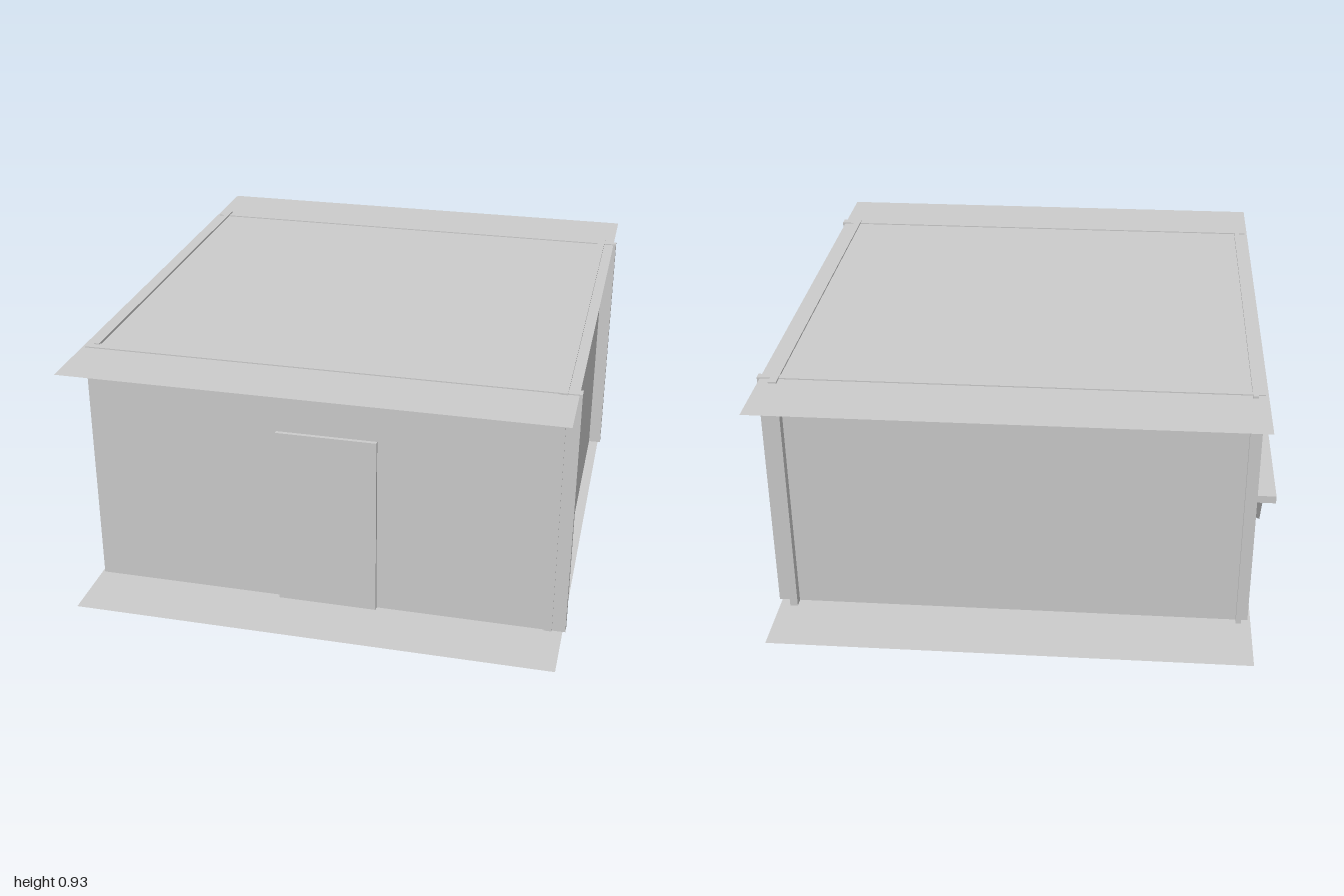
import * as THREE from 'three';
import { ConvexGeometry } from 'three/addons/geometries/ConvexGeometry.js';

export function createModel() {
  const group = new THREE.Group();
  const mat = new THREE.MeshStandardMaterial({ color: 0xcccccc, flatShading: true, side: THREE.DoubleSide });

  const add = (name, geometry) => {
    const mesh = new THREE.Mesh(geometry, mat);
    mesh.name = name;
    group.add(mesh);
    return mesh;
  };
  // Box given by its limits on each axis
  const box = (name, x0, x1, y0, y1, z0, z1) =>
    add(name, new THREE.BoxGeometry(x1 - x0, y1 - y0, z1 - z0)
      .translate((x0 + x1) / 2, (y0 + y1) / 2, (z0 + z1) / 2));
  const slab = (name, y) =>
    add(name, new THREE.PlaneGeometry(1.71, 2).rotateX(-Math.PI / 2).translate(0.045, y, 0));
  // Side profile in (z, y), extruded between two x positions
  const sideExtrude = (name, shape, x0, x1) =>
    add(name, new THREE.ExtrudeGeometry(shape, { depth: x1 - x0, bevelEnabled: false })
      .rotateY(-Math.PI / 2).translate(x1, 0, 0));
  const points = (list) => list.map(([z, y]) => new THREE.Vector2(z, y));

  // Floor and ceiling sheets
  slab('floor', 0.017);
  slab('ceiling', 0.93);

  // Plain walls, crossing at the corners
  box('frontWall', -0.8, 0.91, 0.019, 0.934, 0.73, 0.765);
  box('backWall', -0.8, 0.91, 0.019, 0.934, -0.74, -0.713);
  box('leftWall', 0.835, 0.863, 0.018, 0.936, -0.775, 0.77);

  // Door slab set through the front wall
  box('door', -0.12, 0.236, 0.004, 0.685, 0.71, 0.779);

  // Arch outline, shrunk by an inset for the opening
  const arch = (inset, base) => {
    const half = [[0.3, base], [0.3, 0.46], [0.24, 0.605], [0.11, 0.69]]
      .map(([z, y]) => [z * (1 - inset / 0.3), y > 0.4 ? 0.42 + (y - 0.42) * (1 - inset / 0.3) : y]);
    return points([...half, ...half.slice().reverse().map(([z, y]) => [-z, y])]);
  };

  // Serving wall with an arched window
  const wall = new THREE.Shape(points([[-0.76, 0.01], [0.74, 0.01], [0.74, 0.938], [-0.76, 0.938]]));
  wall.holes.push(new THREE.Path(arch(0.04, 0.26)));
  sideExtrude('windowWall', wall, -0.776, -0.757);

  // Raised arch frame
  const frame = new THREE.Shape(arch(0, 0.26));
  frame.holes.push(new THREE.Path(arch(0.04, 0.265)));
  sideExtrude('windowFrame', frame, -0.798, -0.745);

  // Counter shelf and its tapered bracket
  box('counter', -0.915, -0.745, 0.245, 0.275, -0.3, 0.29);
  const corners = [];
  for (const s of [-1, 1]) {
    for (const [x, y, z] of [[-0.88, 0.25, 0.2], [-0.77, 0.25, 0.2], [-0.88, 0.03, 0.075], [-0.77, 0.085, 0.085]]) {
      corners.push(new THREE.Vector3(x, y, s * z));
    }
  }
  add('counterBracket', new ConvexGeometry(corners));

  // Small till on the counter with a tilted panel
  box('tillBase', -0.815, -0.735, 0.275, 0.31, 0.04, 0.14);
  const panel = box('tillPanel', -0.006, 0.006, -0.03, 0.03, -0.045, 0.045);
  panel.position.set(-0.79, 0.318, 0.1);
  panel.rotation.z = 0.5;

  return group;
}
